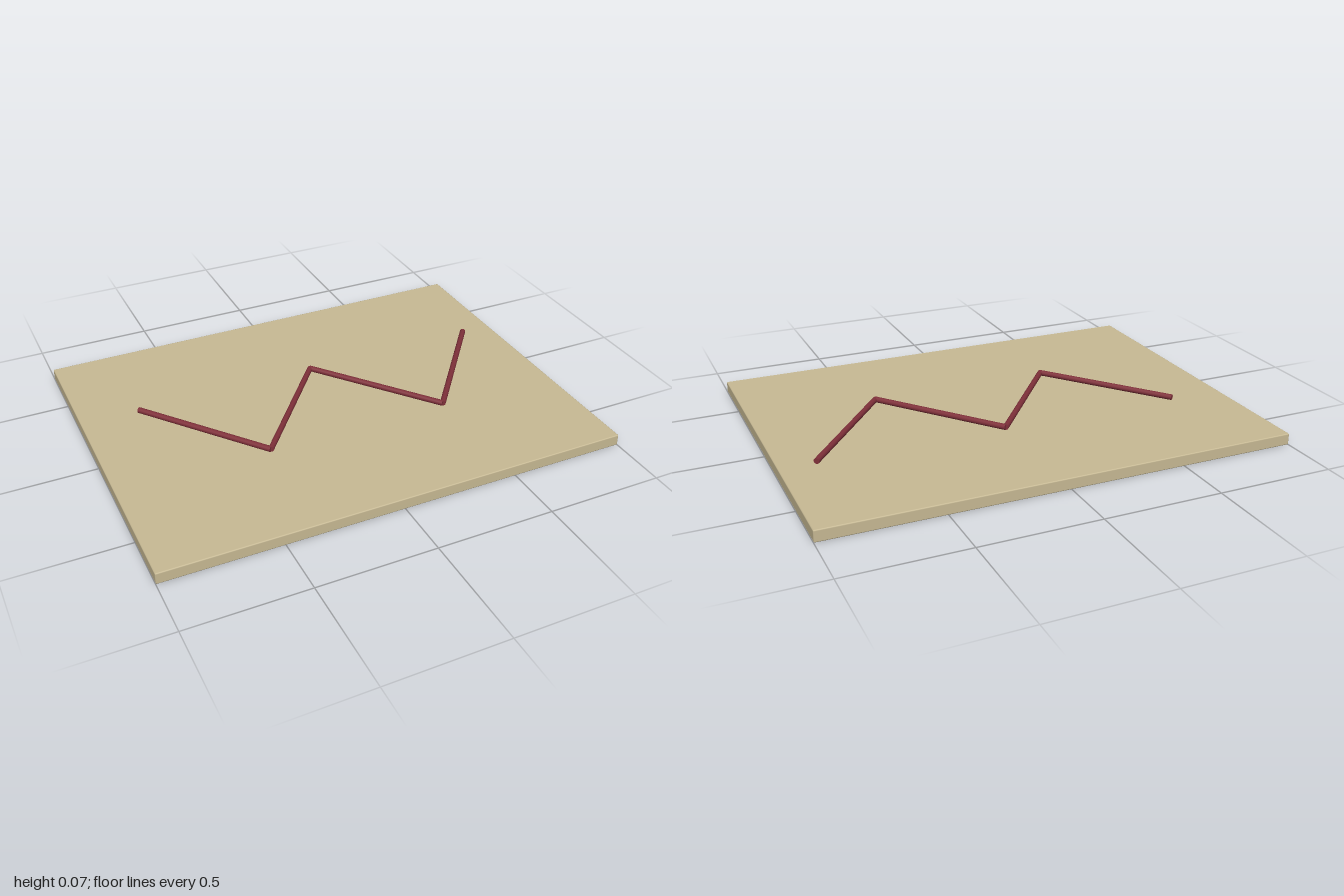
import * as THREE from 'three';
import { RoundedBoxGeometry } from 'three/addons/geometries/RoundedBoxGeometry.js';

export function createModel() {
  const model = new THREE.Group();
  const sand = new THREE.MeshStandardMaterial({ color: 0xc8ba94 });
  sand.name = 'sand';
  const maroon = new THREE.MeshStandardMaterial({ color: 0x80303a });
  maroon.name = 'maroon';

  // Flat board with slightly softened edges
  const board = new THREE.Mesh(new RoundedBoxGeometry(2, 0.05, 1.5, 1, 0.005), sand);
  board.name = 'board';
  board.position.y = 0.025;
  model.add(board);

  // Zigzag of round rods resting on the board
  const radius = 0.0125;
  const points = [];
  for (let i = 0; i < 5; i++) {
    points.push(new THREE.Vector3(-0.75 + 0.4 * i, 0.05 + radius, i % 2 ? 0.25 : -0.25));
  }
  const zigzag = new THREE.Group();
  zigzag.name = 'zigzag';
  const up = new THREE.Vector3(0, 1, 0);
  for (let i = 0; i < 4; i++) {
    const along = points[i + 1].clone().sub(points[i]);
    const rod = new THREE.Mesh(new THREE.CylinderGeometry(radius, radius, along.length(), 12), maroon);
    rod.name = 'rod' + (i + 1);
    rod.position.copy(points[i]).addScaledVector(along, 0.5);
    rod.quaternion.setFromUnitVectors(up, along.normalize());
    zigzag.add(rod);
  }
  model.add(zigzag);
  return model;
}
